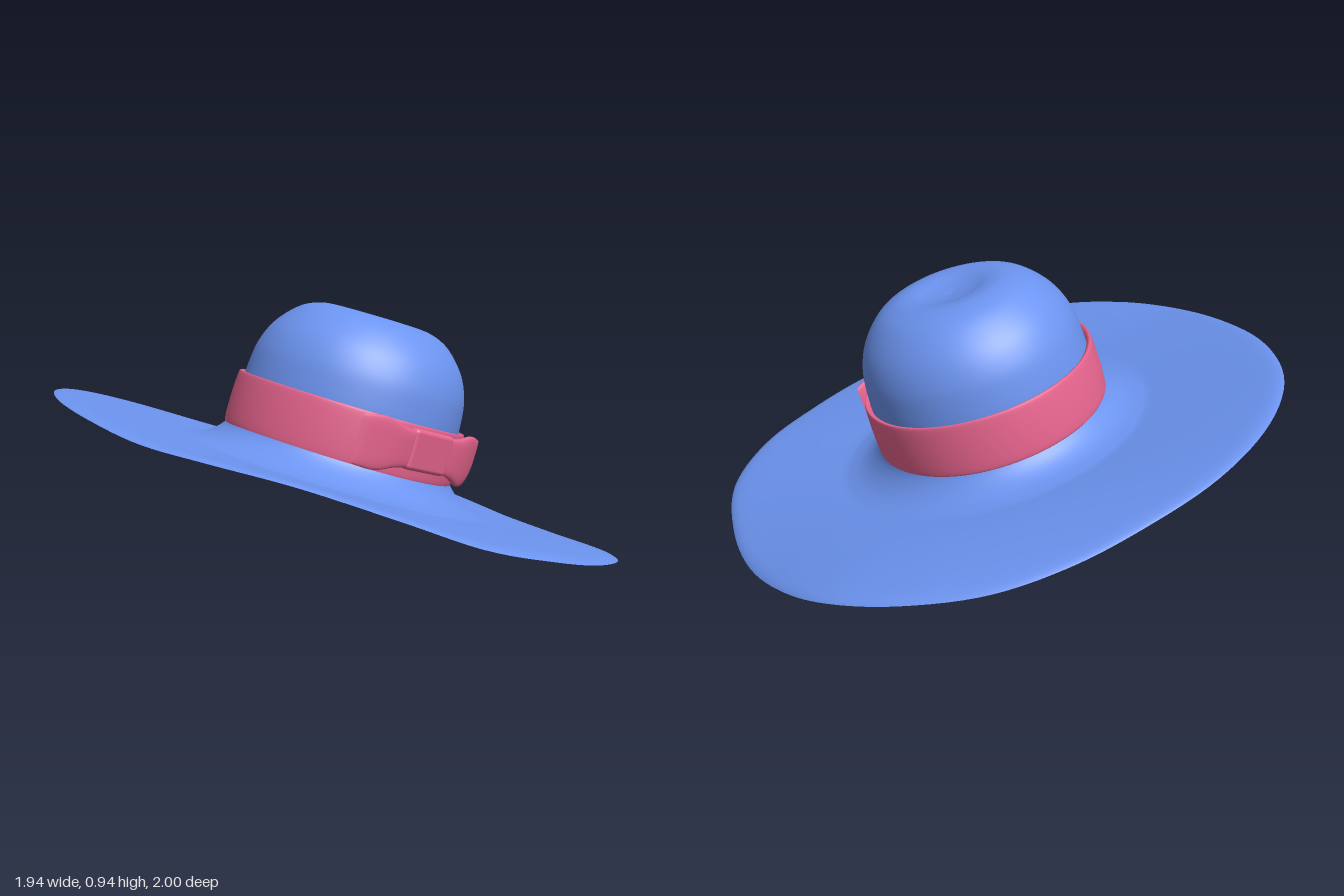
import * as THREE from 'three';
import { RoundedBoxGeometry } from 'three/addons/geometries/RoundedBoxGeometry.js';

const blue = new THREE.MeshStandardMaterial({ color: 0x6c94f0, side: THREE.DoubleSide });
const pink = new THREE.MeshStandardMaterial({ color: 0xe8658f, side: THREE.DoubleSide });

// Smooth surface from rows of rings; each ring closes on itself
function ringSurface(rows, segments, point) {
  const positions = [], index = [];
  for (let i = 0; i <= rows; i++)
    for (let j = 0; j < segments; j++) positions.push(...point(i / rows, j / segments));
  for (let i = 0; i < rows; i++)
    for (let j = 0; j < segments; j++) {
      const a = i * segments + j, b = i * segments + (j + 1) % segments;
      index.push(a, b, a + segments, b, b + segments, a + segments);
    }
  const geometry = new THREE.BufferGeometry();
  geometry.setAttribute('position', new THREE.Float32BufferAttribute(positions, 3));
  geometry.setIndex(index);
  geometry.computeVertexNormals();
  return geometry;
}

function smoothProfile(points, count) {
  return new THREE.SplineCurve(points.map(p => new THREE.Vector2(...p))).getPoints(count);
}

function part(name, geometry, material) {
  const mesh = new THREE.Mesh(geometry, material);
  mesh.name = name;
  return mesh;
}

// Wide egg-shaped brim: flared collar, flat sheet, softly rolled lip
function brimGeometry() {
  // Outline as x, z and how far the edge lifts or droops
  const outline = new THREE.CatmullRomCurve3([
    [0.97, -0.1, -0.015], [0.945, 0.18, -0.027], [0.845, 0.47, -0.015], [0.67, 0.75, 0.008], [0.43, 0.91, 0.018],
    [0.18, 0.98, 0.01], [-0.07, 0.995, 0.005], [-0.38, 0.94, 0], [-0.62, 0.795, 0.02], [-0.82, 0.57, 0.03],
    [-0.93, 0.32, 0.015], [-0.97, 0.08, 0], [-0.93, -0.22, 0.005], [-0.82, -0.53, 0.014], [-0.62, -0.8, 0.02],
    [-0.37, -0.95, 0.014], [-0.08, -1, 0], [0.2, -0.95, -0.02], [0.43, -0.865, -0.036], [0.645, -0.735, -0.036],
    [0.835, -0.525, -0.016], [0.94, -0.31, -0.006],
  ].map(([x, z, lift]) => new THREE.Vector3((x + 0.04 * z) / 0.968, lift, z / 0.988)), true);
  const collarRows = 14, rows = 48;
  const collar = smoothProfile([[0.41, 0.105], [0.425, 0.075], [0.46, 0.042], [0.51, 0.016], [0.57, 0.003]], collarRows);
  return ringSurface(rows, 128, (s, t) => {
    const edge = outline.getPoint(t);
    const angle = Math.atan2(edge.z, edge.x);
    const i = Math.round(s * rows);
    const c = collar[Math.min(i, collarRows)];
    // Rows crowd towards the edge so the lip stays round
    const k = Math.sin(Math.max(0, (i - collarRows) / (rows - collarRows)) * Math.PI / 2);
    const shift = -0.02 * (1 - Math.min(1, i / collarRows));
    const x = c.x * Math.cos(angle), z = c.x * Math.sin(angle) + shift;
    const lip = 0.005 * Math.sin(Math.PI * k) - 0.013 * Math.pow(k, 24);
    return [
      THREE.MathUtils.lerp(x, edge.x, k),
      c.y + edge.y * Math.pow(k, 1.5) + lip,
      THREE.MathUtils.lerp(z, edge.z, k),
    ];
  });
}

// One bow loop: flattened tube that widens away from the knot
function bowLoopGeometry(side) {
  const halfHeight = new THREE.SplineCurve([[0, 0.062], [0.3, 0.071], [0.65, 0.092], [1, 0.086]]
    .map(p => new THREE.Vector2(...p)));
  return ringSurface(28, 32, (s, t) => {
    const a = t * Math.PI * 2 * side;
    const cap = Math.sqrt(1 - Math.pow(s, 20));
    const c = Math.cos(a), d = Math.sin(a);
    const h = halfHeight.getPoint(s).y * (0.94 + 0.06 * cap);
    const depth = (0.009 + 0.007 * Math.sin(Math.PI * s)) * cap;
    return [
      side * (0.07 + 0.255 * s - (side > 0 ? 0.03 * s * s * Math.max(0, -c) : 0)),
      Math.sign(c) * Math.pow(Math.abs(c), 0.5) * h - 0.008 * s,
      Math.sign(d) * Math.pow(Math.abs(d), 0.6) * depth - 0.045 * s * s,
    ];
  });
}

export function createModel() {
  const model = new THREE.Group();
  model.name = 'sunHat';

  // Everything sits in one tilted frame
  const hat = new THREE.Group();
  hat.name = 'tiltedHat';
  const right = new THREE.Vector3(1, -0.26, 0).normalize();
  const up = new THREE.Vector3(0.26, 1, 0.165).normalize();
  const front = new THREE.Vector3().crossVectors(right, up);
  hat.quaternion.setFromRotationMatrix(new THREE.Matrix4().makeBasis(right, up, front));
  hat.position.set(0, 0.315, 0);
  model.add(hat);

  hat.add(part('brim', brimGeometry(), blue));

  // Rounded crown with a shallow dent in the top, slightly longer front to back
  const crownGeometry = new THREE.LatheGeometry(smoothProfile([
    [0.405, 0.1], [0.397, 0.2], [0.393, 0.3], [0.38, 0.39], [0.342, 0.475], [0.272, 0.55],
    [0.2, 0.582], [0.14, 0.584], [0.08, 0.57], [0, 0.56],
  ], 48), 96);
  crownGeometry.scale(1, 1, 1.02);
  const crown = part('crown', crownGeometry, blue);
  crown.position.z = -0.022;
  hat.add(crown);

  // Ribbon band around the crown
  const bandGeometry = new THREE.LatheGeometry(smoothProfile([
    [0.401, 0.09], [0.41, 0.078], [0.419, 0.09], [0.421, 0.17], [0.417, 0.258], [0.409, 0.27], [0.398, 0.262],
  ], 28), 96);
  bandGeometry.scale(1, 1, 1.02);
  const band = part('ribbonBand', bandGeometry, pink);
  band.position.z = -0.022;
  hat.add(band);

  // Ribbon end tucked inside the crown
  const tuck = part('ribbonTuck',
    new THREE.CylinderGeometry(0.385, 0.385, 0.15, 8, 1, true, Math.PI / 2 - 0.2, 0.4), pink);
  tuck.position.set(0, 0.165, -0.015);
  hat.add(tuck);

  // Bow on the front of the band
  const bow = new THREE.Group();
  bow.name = 'bow';
  bow.position.set(-0.035, 0.188, 0.4);
  for (const side of [-1, 1])
    bow.add(part(side > 0 ? 'leftBowLoop' : 'rightBowLoop', bowLoopGeometry(side), pink));
  const knotGeometry = new RoundedBoxGeometry(0.21, 0.142, 0.046, 4, 0.015);
  const p = knotGeometry.attributes.position;
  for (let i = 0; i < p.count; i++) p.setZ(i, p.getZ(i) - 0.6 * p.getX(i) ** 2);
  bow.add(part('bowKnot', knotGeometry, pink));
  hat.add(bow);

  return model;
}
